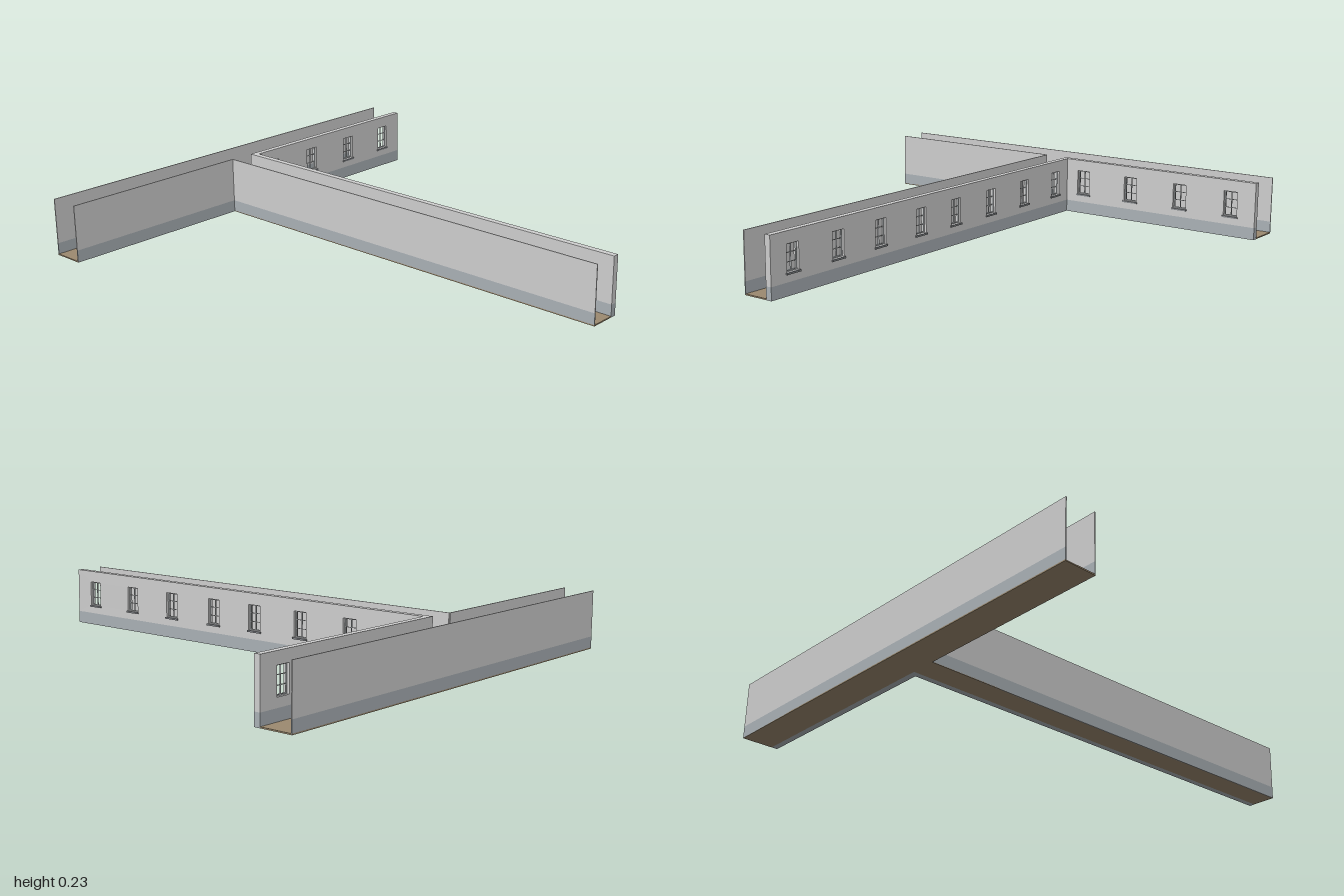
import * as THREE from 'three';

const H = 0.235, BAND = 0.05, T = 0.025, THIN = 0.004;

export function createModel() {
  const mat = (name, color) => {
    const m = new THREE.MeshStandardMaterial({ color });
    m.name = name;
    return m;
  };
  const wall = mat('wall grey', 0xcfcfcf);
  const band = mat('plinth grey', 0xabb2b7);
  const floor = mat('floor brown', 0x9c8a70);
  const frame = mat('window frame', 0xc2c6c8);
  const sill = mat('sill grey', 0x83868a);

  const model = new THREE.Group();
  model.name = 'corridor';

  // Box given by its minimum and maximum corners
  const box = (name, parent, m, x0, x1, y0, y1, z0, z1) => {
    const mesh = new THREE.Mesh(new THREE.BoxGeometry(x1 - x0, y1 - y0, z1 - z0), m);
    mesh.position.set((x0 + x1) / 2, (y0 + y1) / 2, (z0 + z1) / 2);
    mesh.name = name;
    parent.add(mesh);
  };

  // Floors of the cross corridor and the long corridor
  box('crossFloor', model, floor, -0.93, 0.93, 0, 0.005, -1, -0.87);
  box('longFloor', model, floor, -0.105, 0, 0, 0.005, -0.87, 1);

  // Thin plain walls with a painted plinth
  const plainWall = (name, x0, x1, z0, z1) => {
    box(name, model, wall, x0, x1, BAND, H, z0, z1);
    box(name + 'Plinth', model, band, x0, x1, 0, BAND, z0, z1);
  };
  plainWall('backWall', -0.93, 0.93, -1, -1 + THIN);
  plainWall('sideWall', -0.93, -0.105, -0.87 - THIN, -0.87);
  plainWall('longWall', -0.105, -0.105 + THIN, -0.87, 1);

  // Thick wall with window openings, running along its own x, outside at z = T
  const windowWall = (name, u0, u1, centres) => {
    const g = new THREE.Group();
    g.name = name;
    const W = 0.03, B = 0.085, TOP = 0.188, S = 0.002, F = 0.004;
    const rect = (P, a, b, c, d) => {
      const p = new P();
      p.moveTo(a, c);
      p.lineTo(b, c);
      p.lineTo(b, d);
      p.lineTo(a, d);
      p.closePath();
      return p;
    };
    const shape = rect(THREE.Shape, u0, u1, BAND, H);
    centres.forEach(c => shape.holes.push(rect(THREE.Path, c - W, c + W, B, TOP)));
    const panel = new THREE.Mesh(
      new THREE.ExtrudeGeometry(shape, { depth: T, bevelEnabled: false }), wall);
    panel.name = 'wallPanel';
    g.add(panel);
    box('plinth', g, band, u0, u1, 0, BAND, 0, T);

    centres.forEach(c => {
      const win = new THREE.Group();
      win.name = 'window';
      const z0 = T / 2 - 0.003, z1 = T / 2 + 0.003;
      // Outer frame
      for (const s of [-1, 1]) {
        const x = c + s * (W - F / 2);
        box('jamb', win, frame, x - F / 2, x + F / 2, B, TOP, z0, z1);
      }
      box('head', win, frame, c - W + F, c + W - F, TOP - F, TOP, z0, z1);
      box('bottomRail', win, frame, c - W + F, c + W - F, B, B + F, z0, z1);
      // Glazing bars
      box('verticalBar', win, frame, c - S / 2, c + S / 2, B + F, TOP - F, z0, z1);
      for (const t of [1 / 3, 2 / 3]) {
        const y = B + (TOP - B) * t;
        box('crossBar', win, frame, c - W + F, c + W - F, y - S / 2, y + S / 2, z0 + 0.001, z1 - 0.001);
      }
      // Ledge outside
      box('sill', win, sill, c - W - 0.005, c + W + 0.005, B - 0.007, B, T - 0.002, T + 0.005);
      g.add(win);
    });
    model.add(g);
    return g;
  };

  const cross = windowWall('crossWindowWall', T, 0.93, [0.11, 0.347, 0.585, 0.82]);
  cross.position.z = -0.87;

  const along = [0.89, 0.655, 0.42, 0.18, -0.04, -0.275, -0.515, -0.75];
  const long = windowWall('longWindowWall', -1, 0.87, along.map(z => -z));
  long.rotation.y = Math.PI / 2;

  return model;
}
